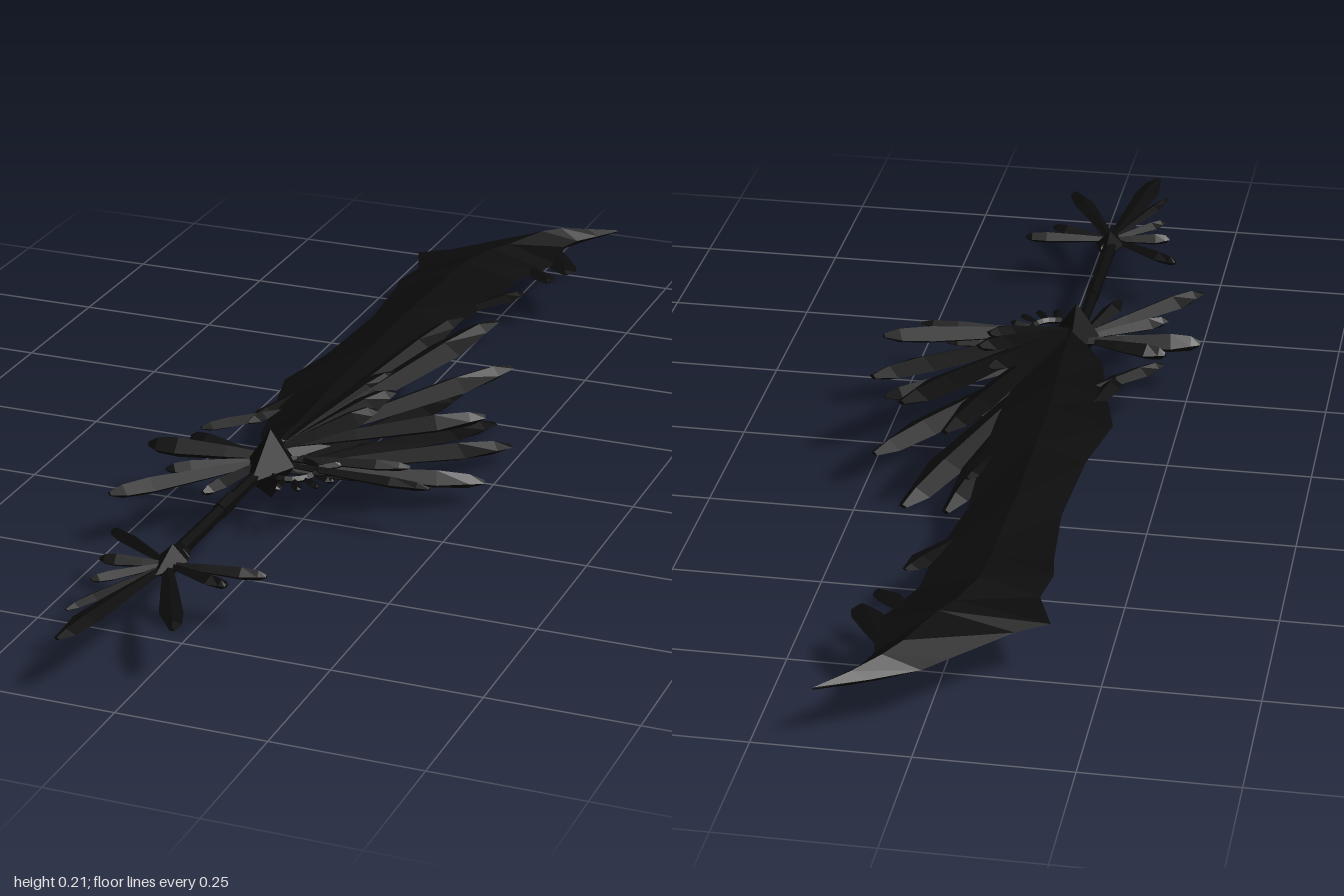
import * as THREE from 'three';

const MID = 0.108; // height of the symmetry plane
const black = new THREE.MeshStandardMaterial({ color: 0x0b0b0b, side: THREE.DoubleSide });
black.name = 'black metal';
black.flatShading = true;

// Closed solid through a row of four-cornered sections
function loft(rings) {
  const pos = [];
  const quad = (a, b, c, d) => [a, b, c, a, c, d].forEach(p => pos.push(p.x, p.y, p.z));
  for (let i = 0; i < rings.length - 1; i++) {
    for (let j = 0; j < 4; j++) {
      const k = (j + 1) % 4;
      quad(rings[i][j], rings[i][k], rings[i + 1][k], rings[i + 1][j]);
    }
  }
  quad(...[...rings[0]].reverse());
  quad(...rings[rings.length - 1]);
  const g = new THREE.BufferGeometry();
  g.setAttribute('position', new THREE.Float32BufferAttribute(pos, 3));
  g.computeVertexNormals();
  return g;
}

// Faceted feather: narrow root, broad outer part, slanted blunt tip
const FEATHER = [[0, 0.35], [0.35, 0.7], [0.75, 1], [0.92, 0.8], [1, 0.25]];
function feather(root, tip, width, thick) {
  const a = new THREE.Vector3(...root), b = new THREE.Vector3(...tip);
  const dir = b.clone().sub(a).normalize();
  const side = new THREE.Vector3(0, 1, 0).cross(dir).normalize();
  const up = dir.clone().cross(side);
  const rings = FEATHER.map(([t, s], i) => {
    const c = a.clone().lerp(b, t);
    const at = (v, d) => c.clone().addScaledVector(v, d);
    const w = width * s / 2, h = thick * s / 2;
    const skew = i === 3 ? 0.6 : 1;
    return [at(side, w), at(up, h), at(side, -w * skew), at(up, -h)];
  });
  return loft(rings);
}

export function createModel() {
  const model = new THREE.Group();
  model.name = 'featheredSword';
  const add = (name, geometry, parent = model) => {
    const m = new THREE.Mesh(geometry, black);
    m.name = name;
    parent.add(m);
    return m;
  };
  const group = name => {
    const g = new THREE.Group();
    g.name = name;
    model.add(g);
    return g;
  };

  // Blade sections: z, left edge, ridge, right edge, half thickness
  const blade = [
    [0.24, -0.07, -0.045, -0.02, 0.03], [0.17, -0.11, -0.045, 0.02, 0.03],
    [0.03, -0.14, -0.05, 0.03, 0.029], [-0.07, -0.165, -0.055, 0.035, 0.028],
    [-0.21, -0.14, -0.055, 0.035, 0.028], [-0.4, -0.13, -0.055, 0.025, 0.028],
    [-0.55, -0.142, -0.05, 0.045, 0.028], [-0.6, -0.15, -0.05, 0.05, 0.028],
    [-0.67, -0.14, -0.045, 0.052, 0.028], [-0.75, -0.17, -0.02, 0.08, 0.028],
    [-0.785, -0.12, 0.0, 0.1, 0.028], [-0.88, -0.035, 0.035, 0.08, 0.026],
    [-0.92, 0.0, 0.06, 0.093, 0.022], [-0.96, 0.07, 0.1, 0.122, 0.012],
    [-1, 0.148, 0.149, 0.15, 0.002],
  ];
  add('blade', loft(blade.map(([z, l, m, r, h]) => [
    new THREE.Vector3(l, MID, z), new THREE.Vector3(m, MID + h, z),
    new THREE.Vector3(r, MID, z), new THREE.Vector3(m, MID - h, z),
  ])));

  // Barbs on the blade edge: root x, z, tip x, z, width
  const barbs = group('bladeBarbs');
  [[0.07, -0.86, 0.13, -0.74, 0.05], [0.03, -0.77, 0.115, -0.69, 0.04],
    [0.0, -0.47, 0.085, -0.62, 0.045], [-0.02, -0.1, 0.045, -0.3, 0.05]]
    .forEach(([x, z, tx, tz, w]) => add('barb', feather([x, MID, z], [tx, MID, tz], w, 0.014), barbs));

  // Raised wing feathers, mirrored above and below: tip x, height, z, width
  const wing = group('wingFeathers');
  const wingTips = [
    [0.085, 0.075, -0.285, 0.055], [0.168, 0.098, -0.235, 0.068],
    [0.245, 0.074, -0.1, 0.066], [0.265, 0.06, 0.09, 0.058],
  ];
  for (const s of [1, -1]) {
    for (const [x, h, z, w] of wingTips) {
      add('wingFeather', feather([-0.035, MID + s * 0.022, 0.24], [x, MID + s * h, z], w, 0.032), wing);
    }
    // Short covert feathers filling the root of the wing
    for (const [x, h, z] of [[0.06, 0.067, -0.02], [0.09, 0.067, 0.06], [0.085, 0.06, 0.13]]) {
      add('covertFeather', feather([-0.04, MID + s * 0.02, 0.25], [x, MID + s * h, z], 0.065, 0.026), wing);
    }
  }

  // Flat guard feathers: root x, z, tip x, z, width, thickness
  const guard = group('guardFeathers');
  [[-0.05, 0.25, 0.175, 0.205, 0.035, 0.02], [-0.04, 0.27, 0.235, 0.275, 0.028, 0.02],
    [-0.06, 0.25, -0.27, 0.275, 0.055, 0.036], [-0.06, 0.27, -0.245, 0.485, 0.05, 0.03],
    [-0.08, 0.25, -0.215, 0.22, 0.045, 0.03], [-0.06, 0.27, -0.105, 0.425, 0.035, 0.024],
    [-0.07, 0.27, -0.2, 0.36, 0.04, 0.024], [-0.08, 0.03, -0.215, 0.18, 0.04, 0.02],
    [-0.1, -0.08, -0.15, 0.13, 0.04, 0.02]]
    .forEach(([x, z, tx, tz, w, h]) => add('guardFeather', feather([x, MID, z], [tx, MID, tz], w, h), guard));

  // Small open crescent with rays beside the guard
  const crescent = group('crescent');
  const arc = add('crescentArc', new THREE.TorusGeometry(0.042, 0.006, 4, 14, Math.PI * 1.3), crescent);
  arc.rotation.set(Math.PI / 2, 0, -Math.PI * 0.65);
  arc.rotation.order = 'YXZ';
  arc.position.set(-0.005, MID, 0.285);
  for (let i = 0; i < 6; i++) {
    const a = -0.6 + i * 0.42, c = Math.cos(a), s = Math.sin(a);
    add('ray', feather([-0.005 + c * 0.04, MID, 0.285 + s * 0.04], [-0.005 + c * 0.085, MID, 0.285 + s * 0.085], 0.018, 0.012), crescent);
  }

  // Central faceted boss and the spine running onto the blade
  const boss = add('guardBoss', new THREE.OctahedronGeometry(1));
  boss.scale.set(0.042, 0.062, 0.085);
  boss.position.set(-0.047, MID, 0.275);
  add('spine', feather([-0.045, MID, -0.08], [-0.045, MID, 0.27], 0.035, 0.066));

  // Grip with a small collar
  const grip = add('grip', new THREE.CylinderGeometry(0.013, 0.01, 0.38, 6));
  grip.rotation.x = Math.PI / 2;
  grip.position.set(-0.05, MID, 0.5);
  const collar = add('gripCollar', new THREE.CylinderGeometry(0.012, 0.012, 0.05, 6));
  collar.scale.z = 1.3;
  collar.rotation.x = Math.PI / 2;
  collar.position.set(-0.05, MID, 0.46);

  // Pommel knot with its feathers: tip x, z, width, thickness
  const pommel = group('pommel');
  const knot = add('pommelKnot', new THREE.OctahedronGeometry(1), pommel);
  knot.scale.set(0.026, 0.026, 0.07);
  knot.position.set(-0.047, MID, 0.675);
  [[-0.18, 0.61, 0.032, 0.022], [-0.155, 0.715, 0.036, 0.022], [-0.135, 0.79, 0.03, 0.018],
    [-0.095, 0.995, 0.045, 0.016], [0.055, 0.905, 0.038, 0.016], [0.07, 0.735, 0.034, 0.02],
    [0.115, 0.68, 0.032, 0.022], [-0.035, 0.64, 0.026, 0.02], [-0.125, 0.9, 0.025, 0.014]]
    .forEach(([x, z, w, h]) => add('pommelFeather', feather([-0.047, MID, 0.695], [x, MID, z], w, h), pommel));

  return model;
}
